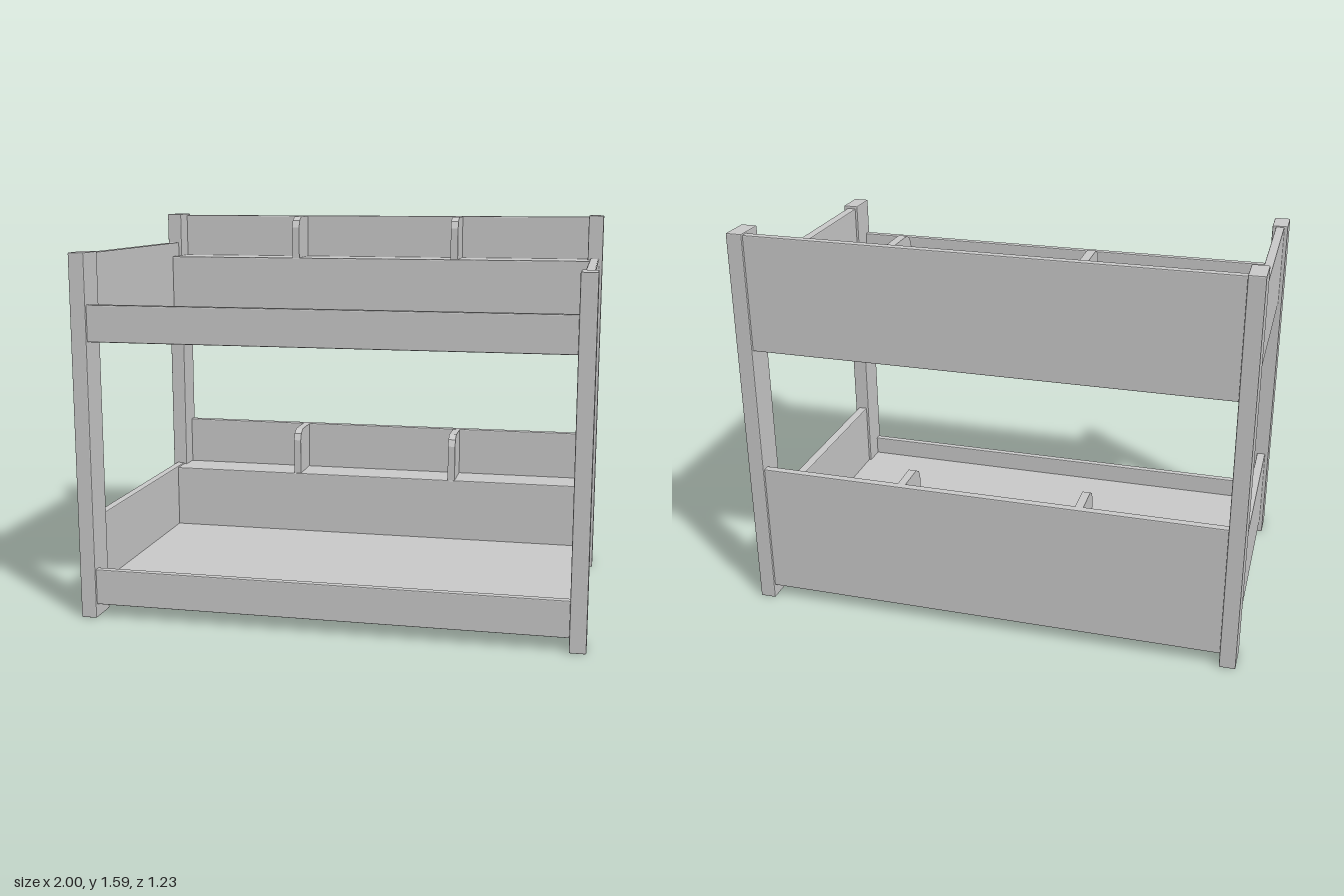
import * as THREE from 'three';
import { RoundedBoxGeometry } from 'three/addons/geometries/RoundedBoxGeometry.js';

const material = new THREE.MeshStandardMaterial({ color: 0xcccccc, flatShading: true });

// Box with finely eased edges, given by its min and max extents on each axis
function board(parent, name, [x0, x1], [y0, y1], [z0, z1], ease = 0.004) {
  const geo = new RoundedBoxGeometry(x1 - x0, y1 - y0, z1 - z0, 1, ease);
  const mesh = new THREE.Mesh(geo, material);
  mesh.name = name;
  mesh.position.set((x0 + x1) / 2, (y0 + y1) / 2, (z0 + z1) / 2);
  parent.add(mesh);
}

// Upright shelf divider with a faceted upper front corner
function divider(parent, x, y0, y1) {
  const front = 0.405, back = 0.575;
  const s = new THREE.Shape();
  s.moveTo(front, y0);
  s.lineTo(front, y1 - 0.048);
  s.lineTo(front + 0.012, y1 - 0.018);
  s.lineTo(front + 0.042, y1);
  s.lineTo(back, y1);
  s.lineTo(back, y0);
  s.closePath();
  const geo = new THREE.ExtrudeGeometry(s, { depth: 0.032, bevelEnabled: false });
  geo.translate(0, 0, -0.016);
  geo.rotateY(Math.PI / 2); // profile runs towards the back
  const mesh = new THREE.Mesh(geo, material);
  mesh.name = 'shelfDivider';
  mesh.position.x = x;
  parent.add(mesh);
}

// One bunk: boards around a platform, with a box shelf along the back
function bunk(name, d) {
  const g = new THREE.Group();
  g.name = name;
  const W = 0.94;
  board(g, 'frontBoard', [-W, W], [d.bottom, d.frontTop], [0.575, 0.605]);
  board(g, 'backBoard', [-W, W], [d.bottom, d.backTop], [-0.605, -0.572]);
  board(g, 'leftSideBoard', [0.946, 0.985], [d.bottom, d.leftTop], [-0.49, 0.49]);
  board(g, 'rightSideBoard', [-0.985, -0.95], [d.bottom, d.rightTop], [-0.49, 0.49]);
  board(g, 'platform', [-0.952, 0.952], [d.floorBottom, d.floorTop], [d.floorBack, 0.578], 0.002);
  board(g, 'shelfBox', [-0.952, 0.952], [d.shelfBottom, d.shelf], [-0.57, -0.402]);
  for (const x of [-0.363, 0.358]) divider(g, x, d.shelf - 0.005, d.backTop - 0.002);
  return g;
}

export function createModel() {
  const model = new THREE.Group();
  model.name = 'bunkBed';

  model.add(bunk('lowerBunk', {
    bottom: 0.055, frontTop: 0.2, backTop: 0.6, leftTop: 0.4, rightTop: 0.4,
    floorBottom: 0.09, floorTop: 0.12, floorBack: -0.574, shelfBottom: 0.1, shelf: 0.394,
  }));
  model.add(bunk('upperBunk', {
    bottom: 1.115, frontTop: 1.26, backTop: 1.58, leftTop: 1.4, rightTop: 1.455,
    floorBottom: 1.126, floorTop: 1.132, floorBack: -0.41, shelfBottom: 1.12, shelf: 1.394,
  }));

  // Corner posts: tall at the back, shorter at the front
  const posts = [
    ['backLeftPost', 1, -1, 1.586], ['backRightPost', -1, -1, 1.586],
    ['frontLeftPost', 1, 1, 1.412], ['frontRightPost', -1, 1, 1.46],
  ];
  for (const [name, sx, sz, h] of posts) {
    board(model, name,
      sx > 0 ? [0.936, 1] : [-1, -0.936], [0, h],
      sz > 0 ? [0.485, 0.615] : [-0.615, -0.485]);
  }
  return model;
}
